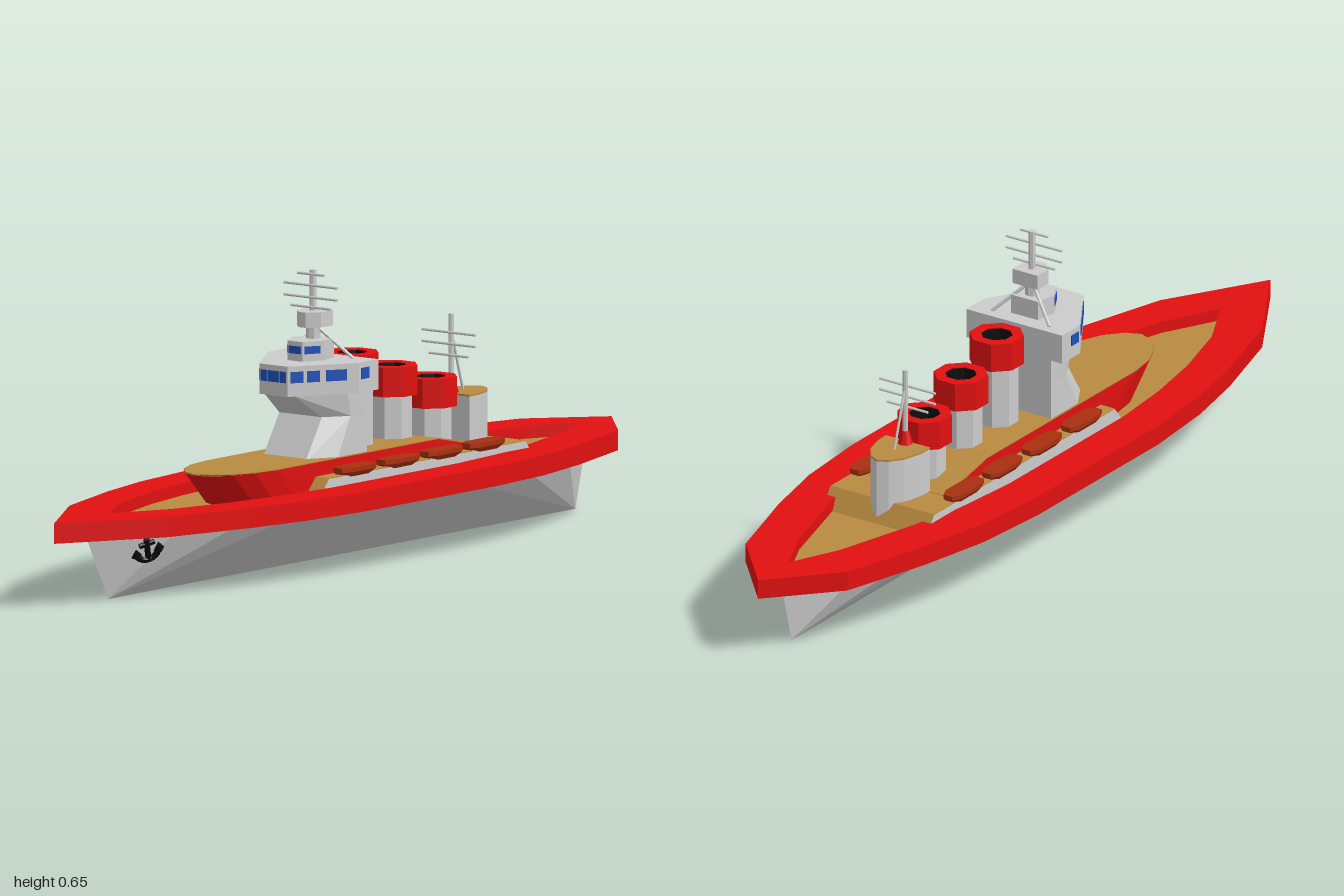
import * as THREE from 'three';
import { ConvexGeometry } from 'three/addons/geometries/ConvexGeometry.js';

const mat = (color) => new THREE.MeshStandardMaterial({ color, flatShading: true });
const GREY = mat(0xcccccc), RED = mat(0xe01010), TAN = mat(0xb88a40);
const BLUE = mat(0x2050b8), BLACK = mat(0x0c0c0c), ORANGE = mat(0xa83010);

export function createModel() {
  const ship = new THREE.Group();
  ship.name = 'ship';

  const add = (name, geo, material, parent = ship) => {
    const m = new THREE.Mesh(geo, material);
    m.name = name;
    parent.add(m);
    return m;
  };
  // Mirror a half outline of [x, z] points (front to back) into a closed one
  const mirror = (half) => [...half, ...half.filter((p) => p[0] > 0).reverse().map(([x, z]) => [-x, z])];
  const ring = (half, y) => mirror(half).map(([x, z]) => new THREE.Vector3(x, y, z));
  const convex = (...rings) => new ConvexGeometry(rings.flat());
  const to2D = (half) => mirror(half).map(([x, z]) => new THREE.Vector2(x, -z));
  const prism = (half, y0, y1, hole) => {
    const s = new THREE.Shape(to2D(half));
    if (hole) s.holes.push(new THREE.Path(to2D(hole)));
    return new THREE.ExtrudeGeometry(s, { depth: y1 - y0, bevelEnabled: false })
      .rotateX(-Math.PI / 2).translate(0, y0, 0);
  };
  const rod = (name, a, b, r, material = GREY, parent = ship) => {
    const A = new THREE.Vector3(...a), B = new THREE.Vector3(...b), d = B.clone().sub(A);
    const m = add(name, new THREE.CylinderGeometry(r, r, d.length(), 8), material, parent);
    m.position.copy(A).add(B).multiplyScalar(0.5);
    m.quaternion.setFromUnitVectors(new THREE.Vector3(0, 1, 0), d.normalize());
    return m;
  };

  // Hull: deck outline pulled down to a straight keel
  const hullTop = [[0, 0.885], [0.1, 0.68], [0.145, 0.5], [0.165, 0.32], [0.165, -0.26], [0.145, -0.5], [0.1, -0.72], [0, -0.91]];
  add('hull', convex(ring(hullTop, 0.15), ring([[0, 0.805], [0, -0.87]], 0)), GREY);

  // Wide red rim around the sunken deck
  const outer = [[0, 1], [0.137, 0.77], [0.2, 0.55], [0.232, 0.39], [0.25, 0.2], [0.25, -0.27], [0.235, -0.46], [0.2, -0.63], [0.137, -0.85], [0, -1]];
  const inner = [[0, 0.805], [0.07, 0.67], [0.115, 0.51], [0.142, 0.36], [0.157, 0.2], [0.157, -0.25], [0.142, -0.42], [0.11, -0.56], [0.055, -0.76], [0, -0.88]];
  add('rim', prism(outer, 0.147, 0.192, inner), RED);
  add('deck', prism(inner, 0.148, 0.165), TAN);

  // Lower deckhouse: grey flanks, tan roof and sloping ends
  const sideProfile = (w, lift) => [[0.24, 0.15], [0.19, 0.208], [-0.515, 0.208], [-0.555, 0.15]]
    .flatMap(([z, y]) => [new THREE.Vector3(w, y + lift, z), new THREE.Vector3(-w, y + lift, z)]);
  add('deckhouse', convex(sideProfile(0.14, 0)), GREY);
  const roof = sideProfile(0.139, 0.002);
  for (let i = 0; i < 6; i += 2) {
    const seg = roof.slice(i, i + 4);
    add('deckhouseRoof', convex(seg, seg.map((p) => p.clone().setY(p.y - 0.004))), TAN);
  }

  // Raised red foredeck with raked bow and a ramp down at the rear
  const fore = [[0, 0.5], [0.035, 0.485], [0.07, 0.445], [0.092, 0.395], [0.102, 0.33], [0.102, -0.25]];
  const foreBase = fore.map(([x, z]) => [x, z < 0 ? -0.42 : z - 0.085]);
  add('foredeckWall', convex(ring(fore, 0.241), ring(foreBase, 0.205), ring(foreBase.map(([x, z]) => [x * 0.98, z]), 0.155)), RED);
  add('foredeck', prism(fore.map(([x, z]) => [x * 0.995, z - 0.001]), 0.239, 0.243), TAN);
  const rampEnds = [...ring([[0.101, -0.25]], 0.243), ...ring([[0.101, -0.42]], 0.211)];
  add('foredeckRamp', convex(rampEnds, rampEnds.map((p) => p.clone().setY(p.y - 0.006))), TAN);

  // Bridge tower with an overhanging shoulder
  const waist = [[0.06, 0.115], [0.098, 0.06], [0.098, 0.002]];
  const bridgePlan = [[0.04, 0.212], [0.129, 0.07], [0.129, 0]];
  add('tower', convex(ring([[0.06, 0.175], [0.098, 0.11], [0.098, 0.002]], 0.235), ring(waist, 0.33)), GREY);
  add('towerShoulder', convex(ring(waist, 0.33), ring([[0.042, 0.195], [0.1, 0.075], [0.098, 0.002]], 0.386)), GREY);
  add('bridge', prism(bridgePlan, 0.385, 0.453), GREY);
  const upperPlan = [[0.021, 0.135], [0.045, 0.09], [0.036, 0.04]];
  add('upperBridge', prism(upperPlan, 0.453, 0.497), GREY);

  // Windows laid along a wall from a to b; spans are fractions of its length
  const windows = (a, b, y, h, spans) => {
    const dx = b[0] - a[0], dz = b[1] - a[1], len = Math.hypot(dx, dz);
    for (const [s, e] of spans) {
      const t = (s + e) / 2;
      const m = add('window', new THREE.BoxGeometry((e - s) * len, h, 0.004), BLUE);
      m.position.set(a[0] + dx * t, y, a[1] + dz * t);
      m.rotation.y = Math.atan2(-dz, dx);
    }
  };
  const flip = ([x, z]) => [-x, z];
  windows(flip(bridgePlan[0]), bridgePlan[0], 0.428, 0.025, [[0.06, 0.27], [0.31, 0.69], [0.73, 0.94]]);
  windows(flip(upperPlan[0]), upperPlan[0], 0.478, 0.017, [[0.1, 0.9]]);
  for (const side of [(p) => p, flip]) {
    windows(side(bridgePlan[0]), side(bridgePlan[1]), 0.428, 0.025, [[0.04, 0.22], [0.27, 0.45], [0.54, 0.83]]);
    windows(side(bridgePlan[1]), side(bridgePlan[2]), 0.428, 0.025, [[0.1, 0.5]]);
    windows(side(upperPlan[0]), side(upperPlan[1]), 0.478, 0.017, [[0.1, 0.85]]);
  }

  // Main mast with lookout box, yards and stays
  const yards = (z, list) => list.forEach(([y, w]) => rod('yard', [-w, y, z + 0.008], [w, y, z + 0.008], 0.003));
  rod('mastBase', [0, 0.495, 0.07], [0, 0.53, 0.07], 0.016);
  add('lookout', prism([[0.01, 0.11], [0.034, 0.085], [0.034, 0.042]], 0.525, 0.559), GREY);
  rod('mainMast', [0, 0.555, 0.07], [0, 0.65, 0.07], 0.008);
  yards(0.07, [[0.567, 0.056], [0.589, 0.075], [0.616, 0.075], [0.641, 0.037]]);
  for (const s of [-1, 1]) rod('mastStay', [s * 0.078, 0.453, 0.025], [s * 0.012, 0.518, 0.062], 0.004);

  // Three eight-sided funnels, lower towards the stern
  [[-0.068, 0.45], [-0.208, 0.405], [-0.35, 0.362]].forEach(([z, top]) => {
    const funnel = new THREE.Group();
    funnel.name = 'funnel';
    funnel.position.z = z;
    ship.add(funnel);
    const lathe = (pts) => new THREE.LatheGeometry(pts.map((p) => new THREE.Vector2(...p)), 8, Math.PI / 8);
    rod('funnelStack', [0, 0.2, 0], [0, top - 0.06, 0], 0.049, GREY, funnel).rotation.y = Math.PI / 8;
    add('funnelCap', lathe([[0.03, top - 0.066], [0.062, top - 0.066], [0.062, top], [0.036, top], [0.036, top - 0.03]]), RED, funnel);
    add('funnelOpening', lathe([[0.036, top - 0.002], [0.034, top - 0.03], [0, top - 0.03]]).clone(), BLACK, funnel)
      .material = Object.assign(BLACK.clone(), { side: THREE.DoubleSide });
  });

  // Aft house, tapering to the stern
  const aft = [[0.06, -0.415], [0.058, -0.45], [0.046, -0.495], [0.024, -0.525], [0, -0.538]];
  add('aftHouse', prism(aft, 0.16, 0.312), GREY);
  add('aftHouseRoof', prism(aft, 0.312, 0.316), TAN);

  // Aft mast with red foot, yards and a rear stay
  add('aftMastFoot', new THREE.CylinderGeometry(0.008, 0.018, 0.032, 8), RED).position.set(0, 0.33, -0.425);
  rod('aftMast', [0, 0.315, -0.425], [0, 0.492, -0.425], 0.006);
  rod('aftStay', [0, 0.455, -0.425], [0, 0.315, -0.468], 0.003);
  yards(-0.425, [[0.451, 0.075], [0.425, 0.075], [0.4, 0.055]]);

  // Four lifeboats along each side
  const boatRim = [[0.012, 0.062], [0.022, 0.038], [0.022, -0.038], [0.012, -0.062]];
  const boatKeel = boatRim.map(([x, z]) => [x * 0.6, z * 0.8]);
  const boatGeo = convex(ring(boatRim, 0.225), ring(boatRim, 0.215), ring(boatKeel, 0.203));
  for (const x of [-0.126, 0.126])
    for (const z of [-0.38, -0.23, -0.075, 0.08])
      add('lifeboat', boatGeo, ORANGE).position.set(x, 0, z);

  // Single bow anchor lying against the hull
  const anchor = new THREE.Group();
  anchor.name = 'anchor';
  rod('anchorShank', [0, -0.026, 0], [0, 0.036, 0], 0.007, BLACK, anchor);
  rod('anchorStock', [-0.018, 0.02, 0], [0.018, 0.02, 0], 0.006, BLACK, anchor);
  add('anchorArms', new THREE.TorusGeometry(0.027, 0.008, 6, 10, Math.PI).rotateZ(Math.PI), BLACK, anchor);
  for (const s of [-1, 1]) {
    const fluke = add('anchorFluke', new THREE.ConeGeometry(0.013, 0.022, 4), BLACK, anchor);
    fluke.position.set(s * 0.027, 0.004, 0);
  }
  anchor.position.set(0.064, 0.108, 0.745);
  anchor.rotation.set(0.55, 1.15, 0.35, 'YXZ');
  ship.add(anchor);

  return ship;
}
